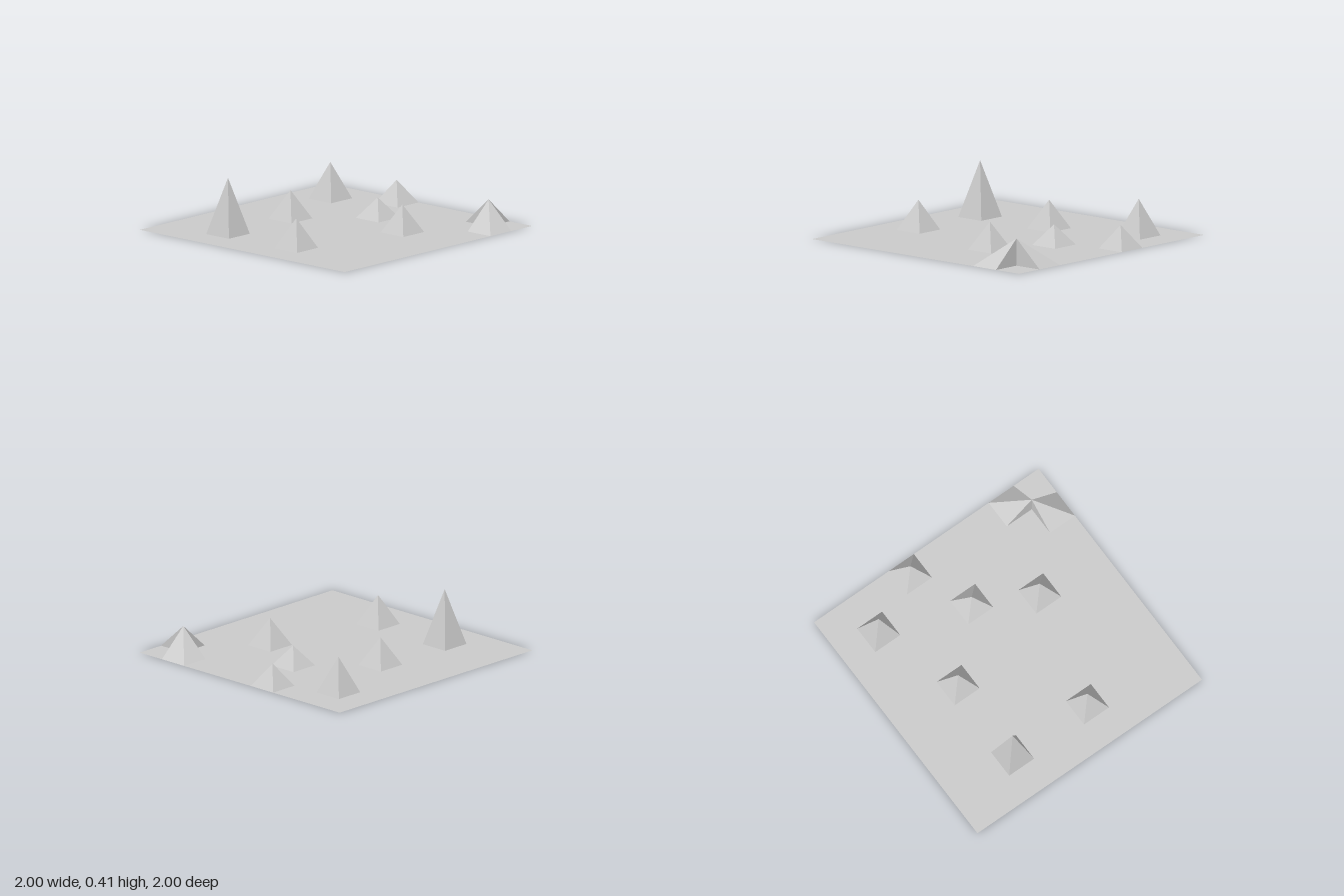
import * as THREE from 'three';
import { mergeGeometries } from 'three/addons/utils/BufferGeometryUtils.js';

const N = 9, CELL = 2 / N, HALF = CELL / 2;

// Peaks by grid cell (counted from the centre): column, row, height,
// and where the tip sits in the cell (-1..1 on x and z, 0 = middle).
const PEAKS = [
  { col: -3, row: -2, h: 0.415, name: 'tallSpike' },
  { col: -3, row: 1, h: 0.22 },
  { col: 0, row: -2, h: 0.21 },
  { col: 1, row: 2, h: 0.205 },
  { col: 2, row: 0, h: 0.15 },
  { col: 3, row: -3, h: 0.27 },
  { col: 4, row: -1, h: 0.17 },
  { col: 4, row: 3, h: 0.2, tx: -1, tz: 1, name: 'cornerPeakRight' },
  { col: 3, row: 4, h: 0.2, tx: 1, tz: -1, name: 'cornerPeakFront' },
];

// Open-bottomed pyramid over one cell; a tip above a corner gives two upright walls
function peakGeometry({ h, tx = 0, tz = 0 }) {
  const corners = [[-1, -1], [-1, 1], [1, 1], [1, -1]];
  const pos = [];
  corners.forEach(([x, z], i) => {
    const [x2, z2] = corners[(i + 1) % 4];
    pos.push(x * HALF, 0, z * HALF, x2 * HALF, 0, z2 * HALF, tx * HALF, h, tz * HALF);
  });
  const g = new THREE.BufferGeometry();
  g.setAttribute('position', new THREE.Float32BufferAttribute(pos, 3));
  g.computeVertexNormals();
  return g;
}

export function createModel() {
  const model = new THREE.Group();
  model.name = 'spikedField';
  const mat = new THREE.MeshStandardMaterial({
    color: 0xcccccc, flatShading: true, side: THREE.DoubleSide,
  });

  // Flat ground sheet, open under every peak
  const tiles = [];
  for (let row = -4; row <= 4; row++) {
    for (let col = -4; col <= 4; col++) {
      if (PEAKS.some((p) => p.col === col && p.row === row)) continue;
      tiles.push(new THREE.PlaneGeometry(CELL, CELL)
        .rotateX(-Math.PI / 2)
        .translate(col * CELL, 0, row * CELL));
    }
  }
  const ground = new THREE.Mesh(mergeGeometries(tiles), mat);
  ground.name = 'ground';
  model.add(ground);

  // Peaks
  PEAKS.forEach((p, i) => {
    const mesh = new THREE.Mesh(peakGeometry(p), mat);
    mesh.name = p.name ?? `spike${i}`;
    mesh.position.set(p.col * CELL, 0, p.row * CELL);
    model.add(mesh);
  });
  return model;
}
